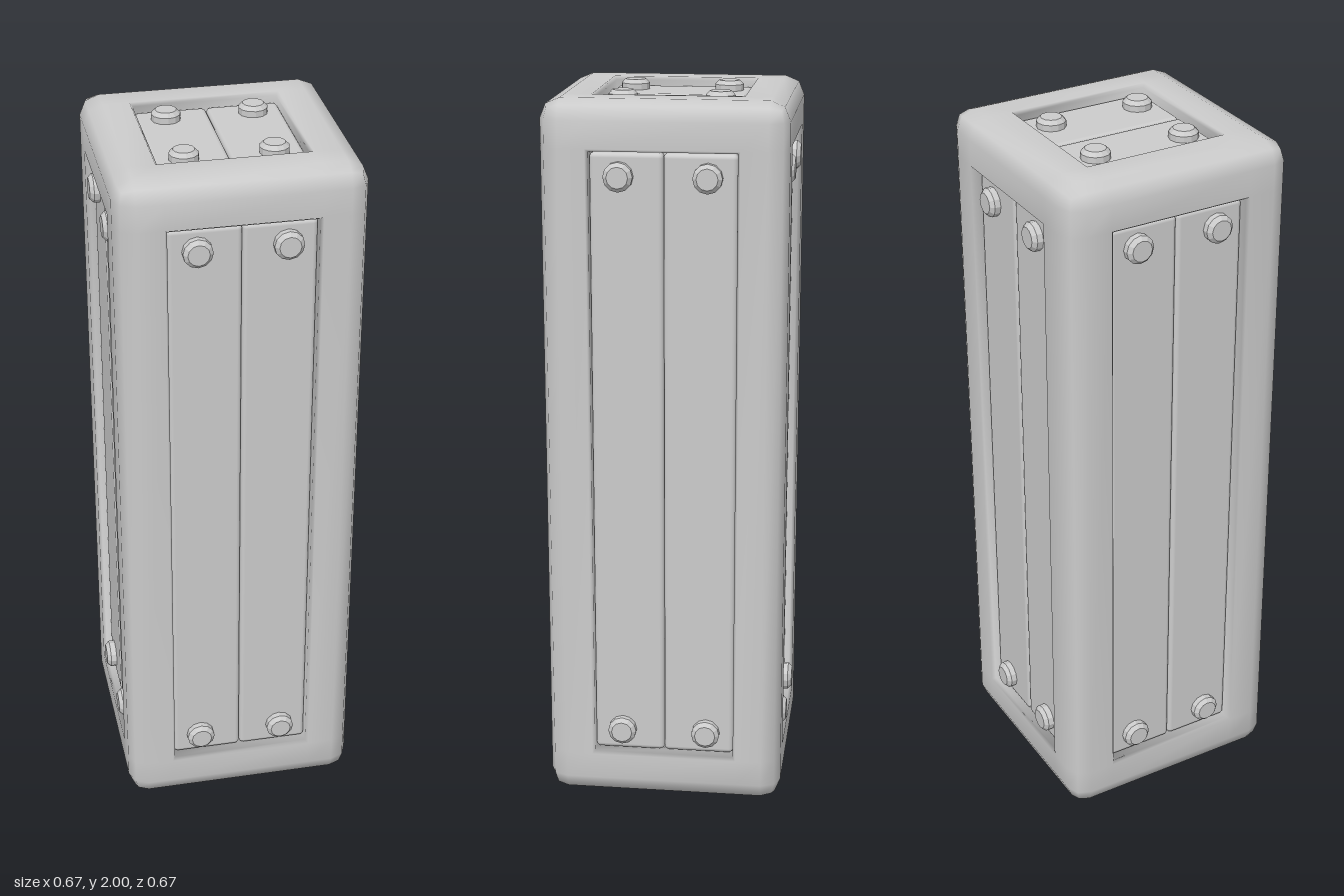
import * as THREE from 'three';
import { mergeGeometries, mergeVertices } from 'three/addons/utils/BufferGeometryUtils.js';
import { RoundedBoxGeometry } from 'three/addons/geometries/RoundedBoxGeometry.js';

const W = 0.332, H = 0.996;   // half width and half height of the frame
const R = 0.054;              // bevel radius of the outer edges
const BORDER = 0.127;         // width of the frame around each opening
const RECESS = 0.024;         // planks sit this far below the frame surface

// One face of the frame, facing +z: bevelled rim plus the walls of its opening
function frameFace(a, b, d) {
  const pos = [];
  const quad = (p, q, r, s) => pos.push(...p, ...q, ...r, ...p, ...r, ...s);

  // grid on the box surface, pushed onto the rounded edges
  const lines = (h) => [-h, R - h, BORDER - h, h - BORDER, h - R, h];
  const us = lines(a), vs = lines(b);
  const inner = new THREE.Vector3(a - R, b - R, d - R);
  const point = (i, j) => {
    const p = new THREE.Vector3(us[i], vs[j], d);
    const c = p.clone().clamp(inner.clone().negate(), inner);
    return p.sub(c).setLength(R).add(c).toArray();
  };
  for (let i = 0; i < 5; i++) {
    for (let j = 0; j < 5; j++) {
      if (i === 2 && j === 2) continue; // the opening
      quad(point(i, j), point(i + 1, j), point(i + 1, j + 1), point(i, j + 1));
    }
  }

  // lip and walls of the opening: [inset, depth]
  const steps = [[0, 0], [0.007, 0.01], [0.007, 0.06]].map(([inset, depth]) => {
    const x = a - BORDER - inset, y = b - BORDER - inset, z = d - depth;
    return [[-x, -y, z], [x, -y, z], [x, y, z], [-x, y, z]];
  });
  for (let s = 0; s < 2; s++) {
    for (let k = 0; k < 4; k++) {
      const n = (k + 1) % 4;
      quad(steps[s][k], steps[s][n], steps[s + 1][n], steps[s + 1][k]);
    }
  }
  const geo = new THREE.BufferGeometry();
  geo.setAttribute('position', new THREE.Float32BufferAttribute(pos, 3));
  return geo;
}

export function createModel() {
  const model = new THREE.Group();
  model.name = 'plankedCrate';
  const smooth = new THREE.MeshStandardMaterial({ color: 0xcccccc });
  const faceted = new THREE.MeshStandardMaterial({ color: 0xcccccc, flatShading: true });

  const add = (parent, name, geo, mat, x = 0, y = 0, z = 0) => {
    const mesh = new THREE.Mesh(geo, mat);
    mesh.name = name;
    mesh.position.set(x, y, z);
    parent.add(mesh);
    return mesh;
  };

  // Bolt: short twelve-sided stud with a chamfered head, pointing along +z
  const bolt = new THREE.LatheGeometry([
    new THREE.Vector2(0.04, -0.005),
    new THREE.Vector2(0.04, 0.017),
    new THREE.Vector2(0.029, 0.028),
    new THREE.Vector2(0, 0.028),
  ], 12).rotateX(Math.PI / 2);

  const sides = [
    { name: 'front', rx: 0, ry: 0 },
    { name: 'left', rx: 0, ry: Math.PI / 2 },
    { name: 'back', rx: 0, ry: Math.PI },
    { name: 'right', rx: 0, ry: -Math.PI / 2 },
    { name: 'top', rx: -Math.PI / 2, ry: 0, cap: true },
    { name: 'bottom', rx: Math.PI / 2, ry: 0, cap: true },
  ];

  const faces = [];
  for (const { name, rx, ry, cap } of sides) {
    const b = cap ? W : H, d = cap ? H : W;
    faces.push(frameFace(W, b, d).rotateX(rx).rotateY(ry));

    // Two planks with a bolt at each end
    const panel = new THREE.Group();
    panel.name = name + 'Panel';
    panel.position.y = 1;
    panel.rotation.set(rx, ry, 0);
    const length = 2 * (b - BORDER) - 0.024;
    const plank = new RoundedBoxGeometry(0.197, length, 0.05, 2, 0.013);
    const boltY = cap ? 0.132 : 0.795;
    for (const s of [-1, 1]) {
      add(panel, 'plank', plank, smooth, s * 0.0988, 0, d - RECESS - 0.025);
      for (const t of [-1, 1]) add(panel, 'bolt', bolt, faceted, s * 0.119, t * boltY, d - RECESS);
    }
    model.add(panel);
  }

  // Frame: all six faces welded for smooth shading
  const frame = mergeVertices(mergeGeometries(faces), 1e-4);
  frame.computeVertexNormals();
  add(model, 'frame', frame, smooth, 0, 1, 0);

  // Core closing the gaps behind the planks
  const inset = 0.055;
  add(model, 'core', new THREE.BoxGeometry(2 * (W - inset), 2 * (H - inset), 2 * (W - inset)), smooth, 0, 1, 0);

  return model;
}
